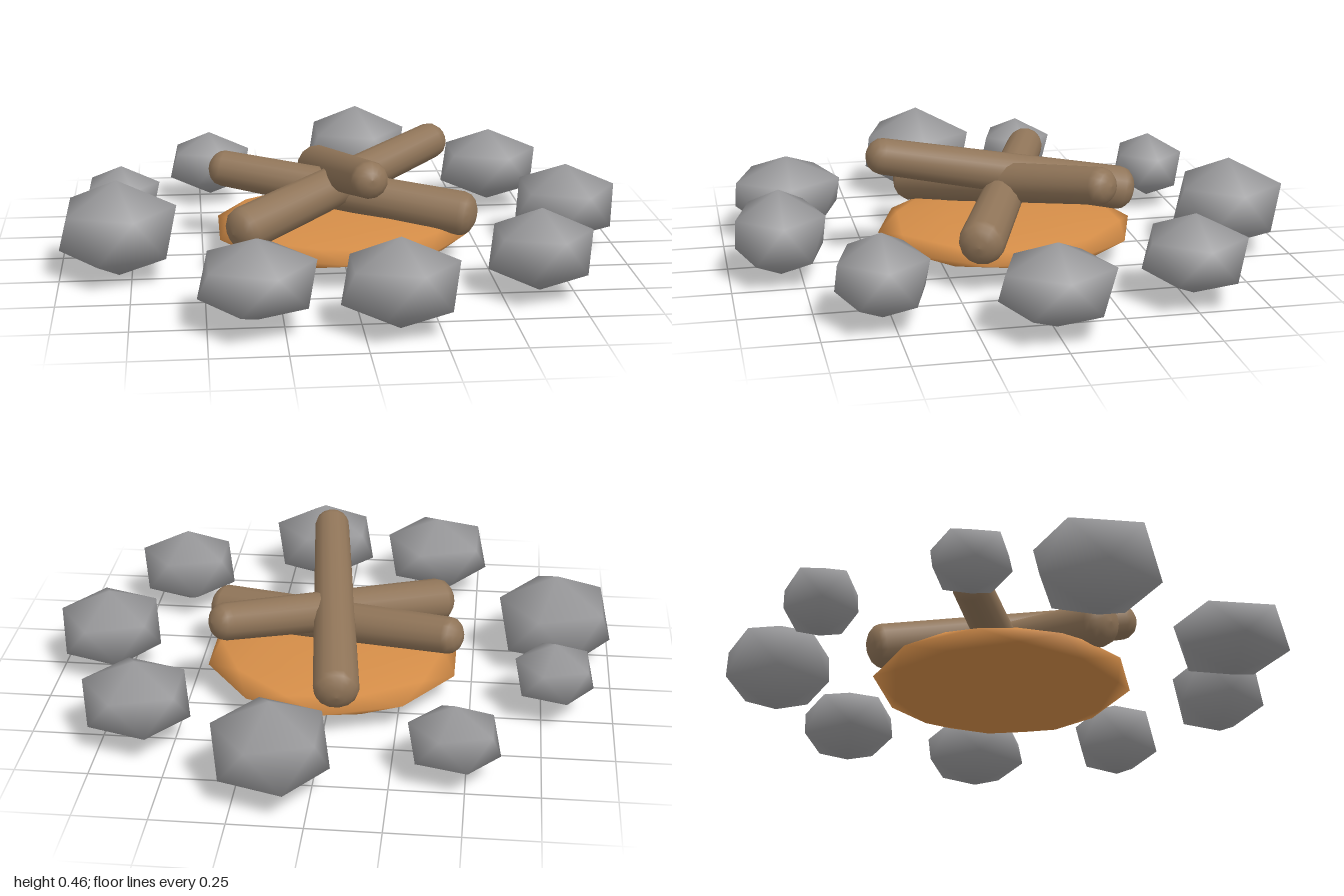
import * as THREE from 'three';
import { mergeVertices } from 'three/addons/utils/BufferGeometryUtils.js';

const material = (name, color) => {
  const m = new THREE.MeshStandardMaterial({ color });
  m.name = name;
  return m;
};

// Smooth-shaded icosphere standing on one of its corners
function icosphere(detail) {
  let g = new THREE.IcosahedronGeometry(1, detail);
  g.deleteAttribute('normal');
  g.deleteAttribute('uv');
  g = mergeVertices(g, 1e-4);
  g.rotateZ(-Math.atan(2 / (1 + Math.sqrt(5))));
  g.computeVertexNormals();
  return g;
}

// Tapered log with rounded ends, running between two end points
function makeLog(low, high, rLow, rHigh, mat) {
  const a = new THREE.Vector3(...low), b = new THREE.Vector3(...high);
  const dir = b.clone().sub(a), h = dir.length() / 2;
  const pts = [];
  const steps = 4, depth = 0.055;
  for (let i = 0; i <= steps; i++) {
    const t = (i / steps) * Math.PI / 2;
    pts.push(new THREE.Vector2(rLow * Math.sin(t), -h + depth * (1 - Math.cos(t))));
  }
  for (let i = steps; i >= 0; i--) {
    const t = (i / steps) * Math.PI / 2;
    pts.push(new THREE.Vector2(rHigh * Math.sin(t), h - depth * (1 - Math.cos(t))));
  }
  const mesh = new THREE.Mesh(new THREE.LatheGeometry(pts, 14), mat);
  mesh.position.copy(a).add(b).multiplyScalar(0.5);
  mesh.quaternion.setFromUnitVectors(new THREE.Vector3(0, 1, 0), dir.normalize());
  mesh.name = 'log';
  return mesh;
}

export function createModel() {
  const model = new THREE.Group();
  model.name = 'campfire';
  const stoneMat = material('stone grey', 0x98989a);
  const woodMat = material('wood brown', 0x8f7458);
  const emberMat = material('ember orange', 0xd48d48);

  // Flattened ember bed
  const bed = new THREE.Mesh(icosphere(1), emberMat);
  bed.name = 'emberBed';
  bed.scale.set(0.463, 0.063, 0.463);
  bed.position.y = 0.1;
  model.add(bed);

  // Three crossed logs: low end, high end, radii
  const logs = new THREE.Group();
  logs.name = 'logs';
  logs.add(
    makeLog([-0.055, 0.185, -0.49], [0.06, 0.41, 0.505], 0.08, 0.064, woodMat),
    makeLog([0.465, 0.175, 0.185], [-0.465, 0.28, -0.185], 0.08, 0.066, woodMat),
    makeLog([-0.4, 0.175, 0.32], [0.4, 0.345, -0.29], 0.08, 0.066, woodMat),
  );
  model.add(logs);

  // Ring of stones: centre x, z, half width, half depth, bottom, top
  const ring = new THREE.Group();
  ring.name = 'stoneRing';
  const stoneGeo = icosphere(0);
  const stones = [
    [-0.795, 0.198, 0.205, 0.197, 0, 0.345],
    [-0.79, -0.207, 0.138, 0.127, 0.05, 0.28],
    [-0.46, -0.667, 0.154, 0.122, 0.03, 0.28],
    [0.13, -0.798, 0.194, 0.182, 0.01, 0.34],
    [0.625, -0.518, 0.184, 0.167, 0.025, 0.305],
    [0.82, -0.001, 0.18, 0.183, 0.02, 0.305],
    [0.625, 0.535, 0.177, 0.15, 0.02, 0.31],
    [0.117, 0.82, 0.192, 0.154, 0.01, 0.318],
    [-0.337, 0.755, 0.193, 0.189, 0.03, 0.305],
  ];
  const c = 2 / Math.sqrt(5); // icosahedron ring radius
  for (const [x, z, hx, hz, y0, y1] of stones) {
    const s = new THREE.Mesh(stoneGeo, stoneMat);
    s.name = 'stone';
    s.position.set(x, (y0 + y1) / 2, z);
    s.scale.set(hx / c, (y1 - y0) / 2, hz / (c * Math.sin(Math.PI * 0.4)));
    ring.add(s);
  }
  model.add(ring);
  return model;
}
